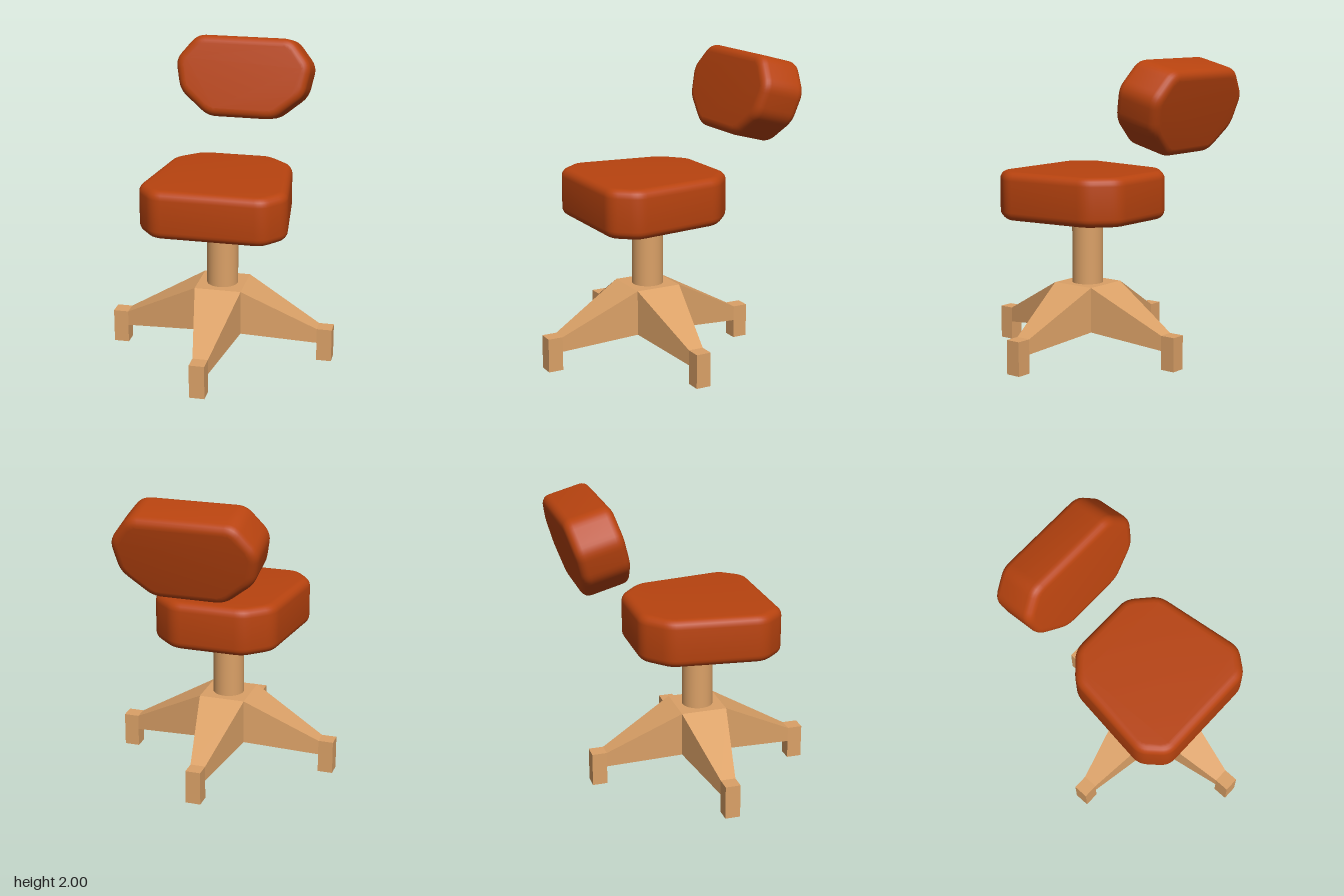
import * as THREE from 'three';
import { toCreasedNormals } from 'three/addons/utils/BufferGeometryUtils.js';

const THICK = 0.32, ROUND = 0.055, AXIS_Z = 0.1;

// Mirrored outline with softened corners; half lists the +x corners from bottom to top
function softOutline(half, cut) {
  const right = half.map(([x, y]) => new THREE.Vector2(x, y));
  const left = half.map(([x, y]) => new THREE.Vector2(-x, y)).reverse();
  const pts = [...right, ...left];
  const shape = new THREE.Shape();
  pts.forEach((p, i) => {
    const prev = pts[(i + pts.length - 1) % pts.length];
    const next = pts[(i + 1) % pts.length];
    const a = p.clone().add(prev.clone().sub(p).setLength(cut));
    const b = p.clone().add(next.clone().sub(p).setLength(cut));
    if (i === 0) shape.moveTo(a.x, a.y);
    else shape.lineTo(a.x, a.y);
    shape.quadraticCurveTo(p.x, p.y, b.x, b.y);
  });
  shape.closePath();
  return shape;
}

// Padded slab with rounded rims, centred in depth
function cushion(half) {
  const geo = new THREE.ExtrudeGeometry(softOutline(half, 0.06), {
    depth: THICK - 2 * ROUND, bevelEnabled: true, bevelThickness: ROUND,
    bevelSize: ROUND, bevelOffset: -ROUND, bevelSegments: 5, curveSegments: 5,
  });
  geo.translate(0, 0, -THICK / 2 + ROUND);
  return toCreasedNormals(geo, 0.7);
}

// Leg that narrows from the hub side (z = 0.155) to the foot (z = 0.65)
function taperedLeg() {
  const geo = new THREE.BoxGeometry(2, 2, 2).toNonIndexed();
  const p = geo.attributes.position;
  for (let i = 0; i < p.count; i++) {
    const outer = p.getZ(i) > 0, top = p.getY(i) > 0;
    p.setXYZ(i, Math.sign(p.getX(i)) * (outer ? 0.05 : 0.155),
      outer ? (top ? 0.225 : 0.125) : (top ? 0.49 : 0.19),
      outer ? 0.65 : 0.155);
  }
  geo.computeVertexNormals();
  return geo;
}

export function createModel() {
  const model = new THREE.Group();
  model.name = 'deskChair';
  const wood = new THREE.MeshStandardMaterial({ color: 0xdba167 });
  const fabric = new THREE.MeshStandardMaterial({ color: 0xb8430f });

  const add = (parent, name, geo, mat, x, y, z) => {
    const mesh = new THREE.Mesh(geo, mat);
    mesh.name = name;
    mesh.position.set(x, y, z);
    parent.add(mesh);
    return mesh;
  };

  // Four-legged base
  const base = new THREE.Group();
  base.name = 'base';
  base.position.z = AXIS_Z;
  model.add(base);
  add(base, 'hub', new THREE.BoxGeometry(0.31, 0.3, 0.31), wood, 0, 0.34, 0);
  const legGeo = taperedLeg();
  const footGeo = new THREE.BoxGeometry(0.1, 0.225, 0.1);
  for (let i = 0; i < 4; i++) {
    const leg = new THREE.Group();
    leg.name = 'leg' + (i + 1);
    leg.rotation.y = i * Math.PI / 2;
    add(leg, 'legArm', legGeo, wood, 0, 0, 0);
    add(leg, 'foot', footGeo, wood, 0, 0.1125, 0.7);
    base.add(leg);
  }

  // Column
  add(base, 'column', new THREE.CylinderGeometry(0.104, 0.104, 0.48, 32), wood, 0, 0.71, 0);

  // Seat, wider towards the front (outline y becomes -z)
  const seat = add(model, 'seat',
    cushion([[0.36, -0.565], [0.487, -0.41], [0.41, 0.21], [0.24, 0.365]]),
    fabric, 0, 1.09, 0);
  seat.rotation.x = -Math.PI / 2;

  // Backrest, leaning back
  const back = add(model, 'backrest',
    cushion([[0.23, -0.275], [0.43, -0.11], [0.472, 0.1], [0.33, 0.275]]),
    fabric, 0, 1.705, -0.635);
  back.rotation.x = -THREE.MathUtils.degToRad(15);

  return model;
}
